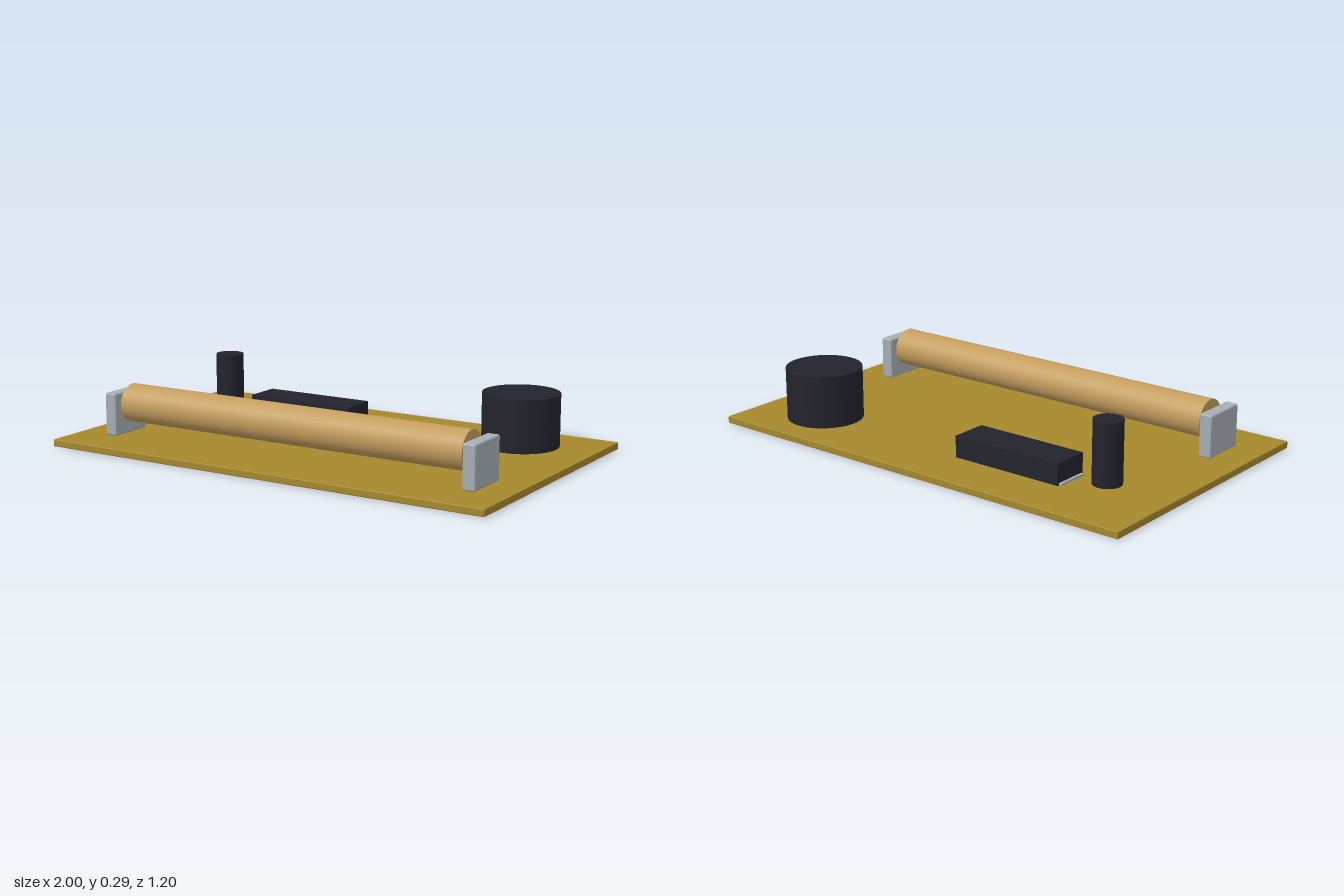
import * as THREE from 'three';
import { RoundedBoxGeometry } from 'three/addons/geometries/RoundedBoxGeometry.js';

function material(name, color) {
  const m = new THREE.MeshStandardMaterial({ color });
  m.name = name;
  return m;
}

export function createModel() {
  const group = new THREE.Group();
  const gold = material('boardGold', 0xa5882c);
  const tan = material('tubeTan', 0xc49e5e);
  const black = material('componentBlack', 0x23232d);
  const silver = material('metalSilver', 0xa6aeb4);

  const add = (name, geometry, mat, x, y, z) => {
    const mesh = new THREE.Mesh(geometry, mat);
    mesh.name = name;
    mesh.position.set(x, y, z);
    group.add(mesh);
    return mesh;
  };

  // Circuit board with barely softened edges
  add('board', new RoundedBoxGeometry(2, 0.03, 1.2, 2, 0.004), gold, 0, 0.015, 0);

  // Long tube held between two end clips
  const tube = add('tube', new THREE.CylinderGeometry(0.08, 0.08, 1.6, 40), tan, 0, 0.16, 0.32);
  tube.rotation.z = Math.PI / 2;
  for (const side of [-1, 1]) {
    add(side > 0 ? 'leftClip' : 'rightClip',
      new RoundedBoxGeometry(0.055, 0.18, 0.2, 3, 0.008), silver, side * 0.84, 0.12, 0.32);
  }

  // Chip with a thin metal contact strip showing at each end
  add('chip', new THREE.BoxGeometry(0.5, 0.09, 0.16), black, -0.32, 0.075, -0.3);
  for (const side of [-1, 1]) {
    add('chipContact', new THREE.BoxGeometry(0.02, 0.009, 0.14), silver,
      -0.32 + side * 0.252, 0.0345, -0.3);
  }

  // Upright round components
  add('largeDrum', new THREE.CylinderGeometry(0.16, 0.16, 0.22, 40), black, 0.68, 0.14, -0.34);
  add('smallPost', new THREE.CylinderGeometry(0.06, 0.06, 0.26, 32), black, -0.7, 0.16, -0.24);

  return group;
}
